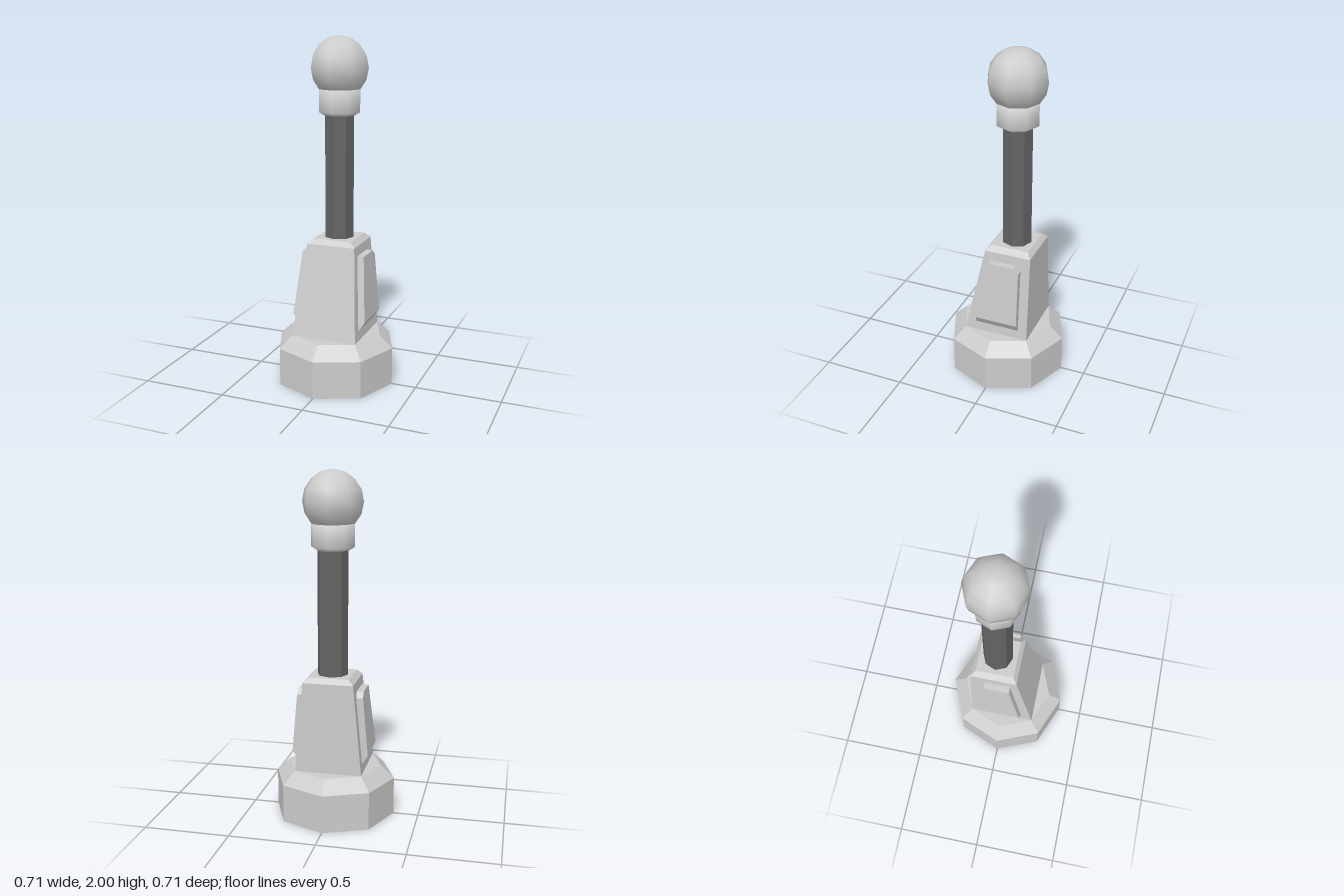
import * as THREE from 'three';
import { ConvexGeometry } from 'three/addons/geometries/ConvexGeometry.js';

const AXIS_Z = -0.058; // the shaft stands slightly behind the centre

export function createModel() {
  const group = new THREE.Group();
  const flat = new THREE.MeshStandardMaterial({ color: 0xcccccc, flatShading: true });
  const shell = new THREE.MeshStandardMaterial({ color: 0xcccccc, flatShading: true, side: THREE.DoubleSide });
  const smooth = new THREE.MeshStandardMaterial({ color: 0xcccccc });
  const dark = new THREE.MeshStandardMaterial({ color: 0x646464, flatShading: true });

  const add = (name, geometry, material, y = 0, z = 0) => {
    const mesh = new THREE.Mesh(geometry, material);
    mesh.name = name;
    mesh.position.set(0, y, z);
    group.add(mesh);
    return mesh;
  };
  const lathe = (points) =>
    new THREE.LatheGeometry(points.map(([r, y]) => new THREE.Vector2(r, y)), 8);

  // Hollow octagonal base with a bevelled top, open underneath
  add('base', lathe([[0.354, 0], [0.354, 0.222], [0.275, 0.295], [0, 0.295]]), shell);

  // Tapered housing: sloping front, upright back, bevelled top
  const housing = [];
  for (const [y, halfWidth, front, back] of [
    [0.295, 0.194, 0.195, -0.195],
    [0.825, 0.145, 0.082, -0.195],
    [0.853, 0.115, 0.058, -0.17],
  ]) {
    for (const x of [-halfWidth, halfWidth]) {
      for (const z of [front, back]) housing.push(new THREE.Vector3(x, y, z));
    }
  }
  add('housing', new ConvexGeometry(housing), flat);

  // Raised side panels, tapering into the housing at the bottom
  const outline = [ // z, y, outer x
    [0.125, 0.35, 0.19], [0.115, 0.4, 0.222], [0.045, 0.77, 0.189],
    [-0.11, 0.77, 0.189], [-0.14, 0.74, 0.192], [-0.14, 0.4, 0.222], [-0.14, 0.35, 0.19],
  ];
  for (const [name, side] of [['leftPanel', 1], ['rightPanel', -1]]) {
    const points = outline.flatMap(([z, y, outer]) => {
      const inner = 0.212 - 0.0925 * y;
      return [new THREE.Vector3(side * outer, y, z), new THREE.Vector3(side * inner, y, z)];
    });
    add(name, new ConvexGeometry(points), flat);
  }

  // Dark octagonal shaft
  add('shaft', new THREE.CylinderGeometry(0.088, 0.088, 0.76, 8), dark, 1.22, AXIS_Z);

  // Collar under the knob
  add('collar', lathe([[0, 1.56], [0.09, 1.56], [0.124, 1.58], [0.124, 1.71], [0, 1.71]]), smooth, 0, AXIS_Z);

  // Ball knob
  add('knob', new THREE.SphereGeometry(0.173, 8, 8), smooth, 1.827, AXIS_Z);

  return group;
}
